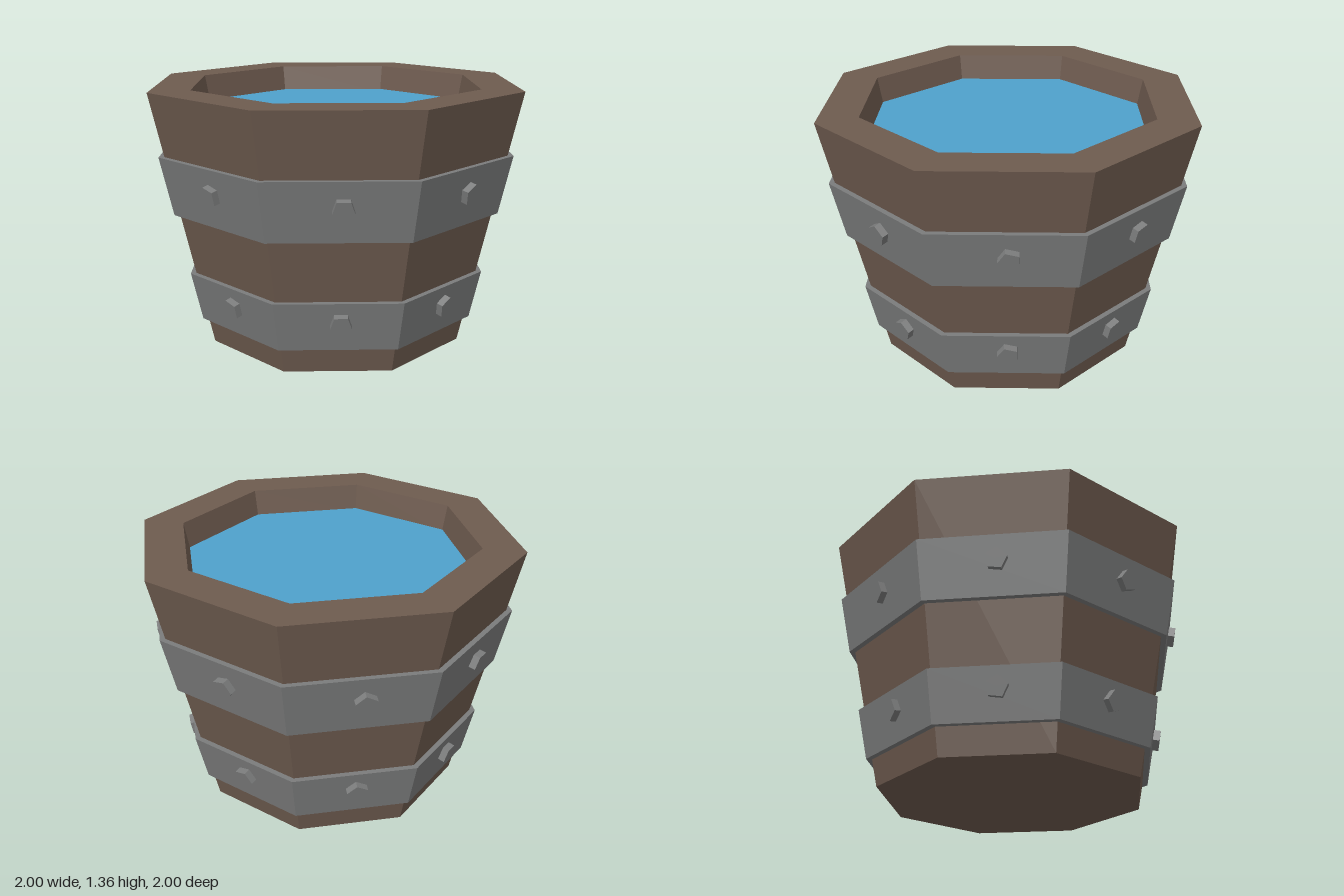
import * as THREE from 'three';

const SIDES = 8;
const SLOPE = (1 - 0.705) / 1.355; // flare of the wall
const wallRadius = (y) => 0.705 + SLOPE * y;

const flat = (color) => new THREE.MeshStandardMaterial({ color, flatShading: true });

function lathe(name, points, material) {
  const profile = points.map(([r, y]) => new THREE.Vector2(r, y));
  const mesh = new THREE.Mesh(new THREE.LatheGeometry(profile, SIDES), material);
  mesh.name = name;
  return mesh;
}

export function createModel() {
  const model = new THREE.Group();
  model.name = 'bucket';
  const wood = flat(0x6e5b4f);
  const metal = flat(0x7b7c7c);
  const water = flat(0x4fa1cc);

  // Flared wooden tub with a thick rim
  model.add(lathe('tub', [[0, 0], [0.705, 0], [1, 1.355], [0.783, 1.355], [0.753, 1.2]], wood));

  // Water just below the rim
  const surface = new THREE.Mesh(new THREE.CircleGeometry(0.763, SIDES).rotateX(-Math.PI / 2), water);
  surface.name = 'water';
  surface.position.y = 1.22;
  model.add(surface);

  // Metal hoops, each with one five-sided rivet per face
  const rivetGeometry = new THREE.CylinderGeometry(0.056, 0.056, 0.07, 5);
  const apothem = Math.cos(Math.PI / SIDES);
  const tilt = Math.atan(SLOPE * apothem);

  function addHoop(name, y0, y1, rivetY, shift) {
    const t = 0.03;
    const r0 = wallRadius(y0), r1 = wallRadius(y1);
    const hoop = new THREE.Group();
    hoop.name = name;
    hoop.add(lathe(name + 'Band',
      [[r0 - 0.01, y0], [r0 + t, y0], [r1 + t, y1], [r1 - 0.01, y1]], metal));
    for (let i = 0; i < SIDES; i++) {
      const side = new THREE.Group();
      side.name = name + 'RivetMount';
      side.rotation.y = ((i + 0.5) / SIDES) * Math.PI * 2;
      const rivet = new THREE.Mesh(rivetGeometry, metal);
      rivet.name = name + 'Rivet';
      rivet.position.set(shift, rivetY, (wallRadius(rivetY) + t) * apothem);
      rivet.rotation.set(Math.PI / 2 + tilt, i * 0.5, 0);
      side.add(rivet);
      hoop.add(side);
    }
    model.add(hoop);
  }
  addHoop('lowerHoop', 0.14, 0.4, 0.295, 0.012);
  addHoop('upperHoop', 0.725, 1.03, 0.9, 0.02);

  return model;
}
